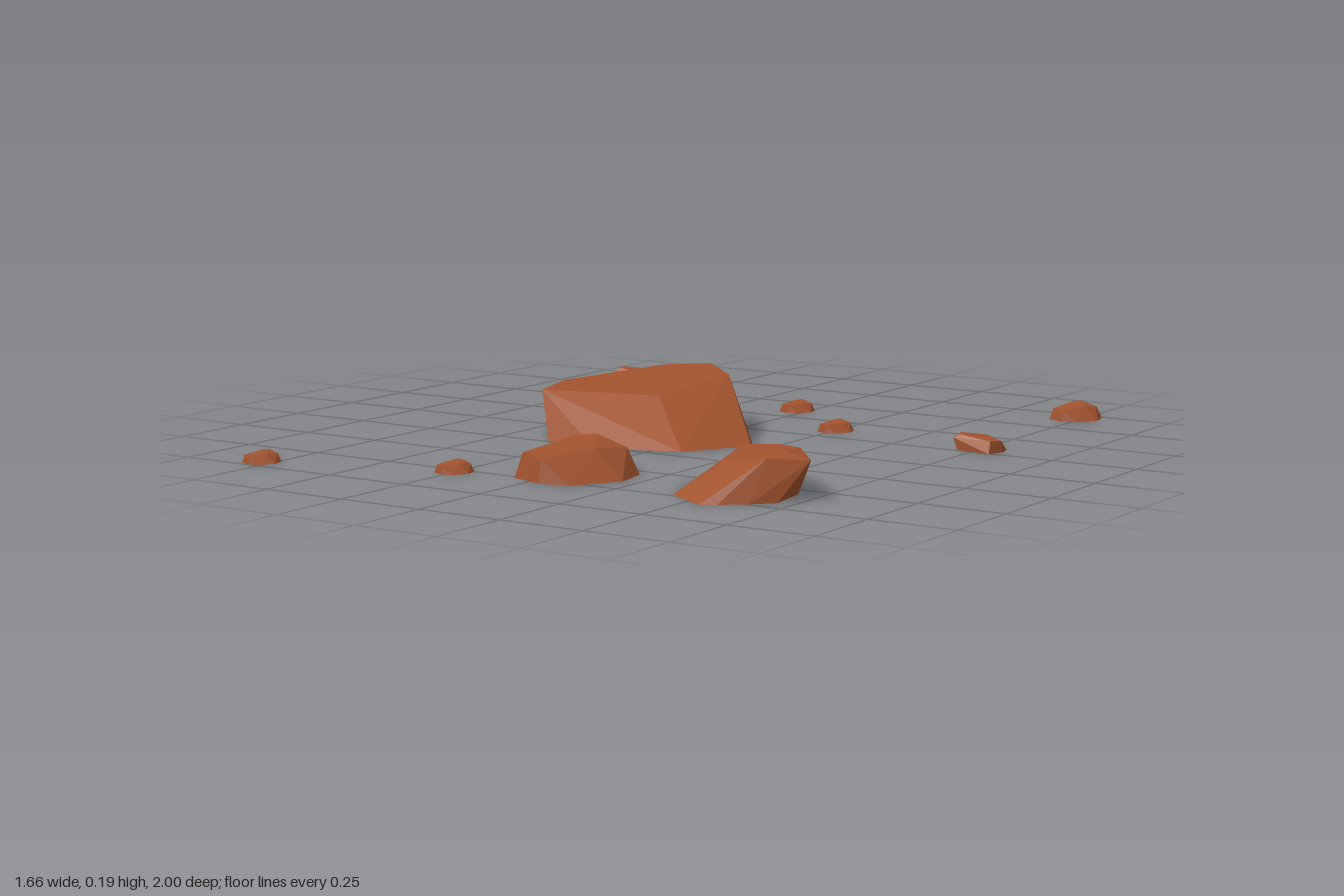
import * as THREE from 'three';
import { ConvexGeometry } from 'three/addons/geometries/ConvexGeometry.js';

// Faceted stone shell: convex hull of a few corners, left open underneath
function stoneGeometry(base, top) {
  const points = [
    ...base.map(([x, z]) => new THREE.Vector3(x, 0, z)),
    ...top.map(([x, y, z]) => new THREE.Vector3(x, y, z)),
  ];
  const pos = new ConvexGeometry(points).getAttribute('position');
  const kept = [];
  for (let i = 0; i < pos.count; i += 3) {
    if (Math.max(pos.getY(i), pos.getY(i + 1), pos.getY(i + 2)) < 1e-4) continue;
    for (let k = i; k < i + 3; k++) kept.push(pos.getX(k), pos.getY(k), pos.getZ(k));
  }
  const geometry = new THREE.BufferGeometry();
  geometry.setAttribute('position', new THREE.Float32BufferAttribute(kept, 3));
  geometry.computeVertexNormals();
  return geometry;
}

export function createModel() {
  const group = new THREE.Group();
  const rust = new THREE.MeshStandardMaterial({ color: 0xa0522d, flatShading: true, side: THREE.DoubleSide });
  rust.name = 'rustStone';

  // Broad boulder with an overhanging back corner
  const boulder = stoneGeometry(
    [[-0.055, -0.18], [0.145, -0.21], [0.225, -0.135], [0.30, -0.04], [0.335, 0.02],
      [0.225, 0.21], [-0.015, 0.29], [-0.19, 0.26], [-0.335, 0.06]],
    [[-0.285, 0.14, 0.05], [-0.258, 0.133, 0.195], [0.06, 0.125, 0.07], [-0.085, 0.175, -0.17],
      [0.065, 0.188, -0.19], [0.145, 0.165, -0.16], [0.035, 0.155, -0.29]],
  );

  // Smaller wedge-shaped rock, high on its left and back
  const rock = stoneGeometry(
    [[-0.135, 0.11], [-0.10, -0.115], [-0.04, -0.135], [0.115, -0.11], [0.135, 0],
      [0.055, 0.125], [-0.03, 0.145]],
    [[-0.11, 0.07, 0.105], [-0.03, 0.065, 0.135], [-0.085, 0.09, -0.105], [-0.035, 0.095, -0.125],
      [0.05, 0.08, 0], [0.075, 0.07, -0.11], [-0.10, 0.07, -0.14], [-0.035, 0.08, -0.14]],
  );

  // name, geometry, x, z, scale, quarter turns
  const stones = [
    ['largeBoulder', boulder, -0.145, -0.02, 1, 0],
    ['turnedBoulder', boulder, 0.5625, 0.5925, 0.67, -1],
    ['backRock', rock, -0.42, -0.475, 1, 0],
    ['frontRock', rock, 0.07, 0.655, 1, 0],
    ['stone', rock, 0.738, -0.933, 0.48, 0],
    ['stone', rock, -0.763, -0.855, 0.48, 1],
    ['stone', rock, 0.756, -0.308, 0.48, 1],
    ['pebble', rock, -0.775, -0.645, 0.32, 0],
    ['pebble', rock, -0.025, -0.605, 0.32, 0],
    ['pebble', rock, 0.26, -0.35, 0.32, 0],
    ['pebble', rock, -0.245, 0.785, 0.32, 0],
    ['pebble', rock, -0.775, 0.95, 0.32, 0],
  ];
  for (const [name, geometry, x, z, scale, turns] of stones) {
    const mesh = new THREE.Mesh(geometry, rust);
    mesh.name = name;
    mesh.position.set(x, 0, z);
    mesh.scale.setScalar(scale);
    mesh.rotation.y = turns * Math.PI / 2;
    group.add(mesh);
  }
  return group;
}
